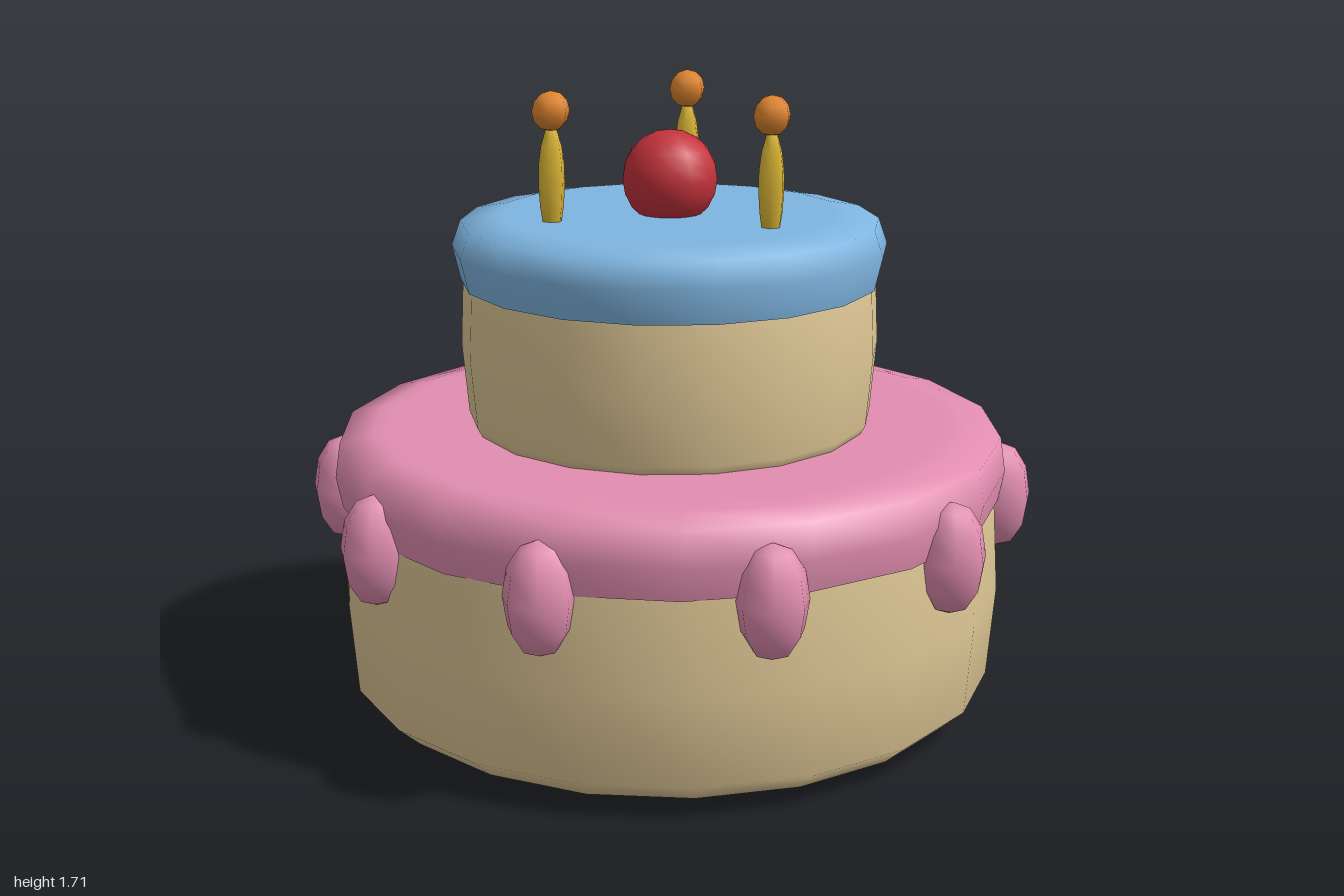
import * as THREE from 'three';

const paint = (name, color) => {
  const m = new THREE.MeshStandardMaterial({ color });
  m.name = name;
  return m;
};

export function createModel() {
  const sponge = paint('sponge', 0xe0c896);
  const pinkIcing = paint('pink icing', 0xe28eb0);
  const blueIcing = paint('blue icing', 0x7fb5e0);
  const cherryRed = paint('cherry red', 0xc4323c);
  const wax = paint('yellow wax', 0xdab535);
  const flameOrange = paint('flame orange', 0xde842e);

  const cake = new THREE.Group();
  cake.name = 'cake';
  const body = new THREE.Group();
  body.name = 'cakeBody';
  body.position.x = -0.005;
  cake.add(body);

  const add = (name, geometry, material, x = 0, y = 0, z = 0) => {
    const mesh = new THREE.Mesh(geometry, material);
    mesh.name = name;
    mesh.position.set(x, y, z);
    body.add(mesh);
    return mesh;
  };
  const lathe = (profile, sides, start = 0) =>
    new THREE.LatheGeometry(profile.map(([r, y]) => new THREE.Vector2(r, y)), sides, start);

  // Sponge tiers
  add('lowerTier', lathe([
    [0, 0], [0.66, 0.006], [0.69, 0.01], [0.83, 0.034], [0.892, 0.09],
    [0.912, 0.34], [0.897, 0.58], [0.88, 0.7], [0, 0.7],
  ], 19, -Math.PI / 2), sponge);
  add('upperTier', lathe([
    [0, 0.77], [0.53, 0.77], [0.553, 0.81], [0.57, 1.0], [0.562, 1.18], [0.54, 1.28], [0, 1.28],
  ], 18, Math.PI / 2), sponge);

  // Icing caps with flat undersides
  const icing = (name, profile, material, start) => {
    add(name, lathe(profile, 18, start), material);
    const [r, y] = profile[0];
    add(name + 'Underside', lathe([[0, y], [r, y]], 18, start), material);
  };
  icing('lowerIcing', [
    [0.905, 0.585], [0.922, 0.67], [0.908, 0.765], [0.82, 0.784], [0.77, 0.787], [0, 0.787],
  ], pinkIcing, 0);
  icing('upperIcing', [
    [0.568, 1.182], [0.59, 1.275], [0.566, 1.343], [0.48, 1.359], [0.45, 1.361], [0, 1.361],
  ], blueIcing, Math.PI / 2);

  // Icing drops around the lower tier
  const drop = new THREE.SphereGeometry(0.095, 7, 6).rotateY(Math.PI).scale(1, 0.15 / 0.095, 1);
  for (let i = 0; i < 10; i++) {
    const a = (i * Math.PI) / 5;
    add('icingDrop', drop, pinkIcing, 0.91 * Math.cos(a), 0.575, 0.91 * Math.sin(a));
  }

  // Cherry
  add('cherry', new THREE.SphereGeometry(0.13, 14, 10), cherryRed, 0, 1.456, 0);

  // Candles and flames
  const candle = lathe([
    [0, -0.16], [0.022, -0.13], [0.033, -0.06], [0.037, 0],
    [0.036, 0.05], [0.029, 0.1], [0.016, 0.142], [0, 0.155],
  ], 6, Math.PI / 2);
  const flame = new THREE.SphereGeometry(0.053, 6, 6);
  for (let i = 0; i < 3; i++) {
    const a = (i * Math.PI * 2) / 3;
    const x = 0.335 * Math.cos(a), z = 0.335 * Math.sin(a);
    add('candle', candle, wax, x, 1.46, z);
    add('flame', flame, flameOrange, x, 1.652, z);
  }

  // Tip of a candle sunk into the lower icing
  add('sunkenCandle', candle, wax, -0.628, 0.66, -0.328);

  return cake;
}
